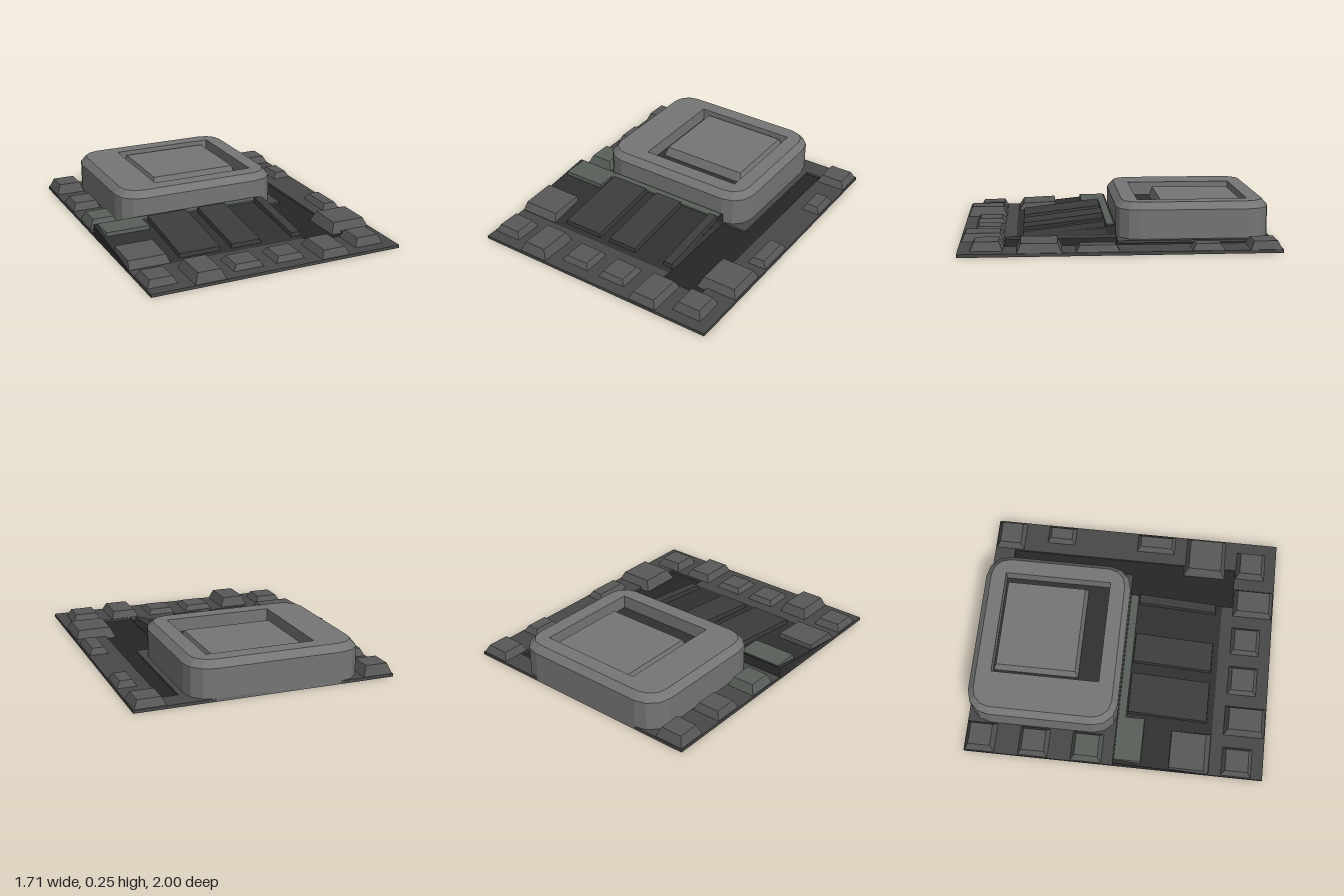
import * as THREE from 'three';

const mat = (color) => new THREE.MeshStandardMaterial({ color, flatShading: true });
const baseMat = mat(0x484848), darkMat = mat(0x262626), panelMat = mat(0x303030);
const slatMat = mat(0x3c3c3c), keyMat = mat(0x585858), greenMat = mat(0x586059), housingMat = mat(0x757575);

// Skin stacked loops of [x, y, z] (clockwise seen from above), optionally closing both ends.
function loft(rings, capped = true) {
  const n = rings[0].length, pos = rings.flat(2), index = [];
  for (let r = 0; r < rings.length - 1; r++) {
    for (let i = 0; i < n; i++) {
      const a = r * n + i, b = r * n + (i + 1) % n;
      index.push(a, a + n, b, b, a + n, b + n);
    }
  }
  if (capped) {
    const t = (rings.length - 1) * n;
    for (let i = 1; i < n - 1; i++) index.push(t, t + i + 1, t + i, 0, i, i + 1);
  }
  const g = new THREE.BufferGeometry();
  g.setAttribute('position', new THREE.Float32BufferAttribute(pos, 3));
  g.setIndex(index);
  const flat = g.toNonIndexed();
  flat.computeVertexNormals();
  return flat;
}

// Rectangle loop with its own height at the back and front edge.
const rect = (x0, x1, z0, z1, yBack, yFront = yBack) =>
  [[x0, yBack, z0], [x1, yBack, z0], [x1, yFront, z1], [x0, yFront, z1]];

// Block with a smaller top.
const frustum = (x0, x1, z0, z1, y0, y1, inset) =>
  loft([rect(x0, x1, z0, z1, y0), rect(x0 + inset, x1 - inset, z0 + inset, z1 - inset, y1)]);

// Rounded rectangle in x, z with three facets per corner.
function roundedLoop(x0, x1, z0, z1, r) {
  const pts = [];
  [[x1 - r, z0 + r, -90], [x1 - r, z1 - r, 0], [x0 + r, z1 - r, 90], [x0 + r, z0 + r, 180]].forEach(([cx, cz, start]) => {
    for (let i = 0; i <= 3; i++) {
      const a = THREE.MathUtils.degToRad(start + i * 30);
      pts.push([cx + r * Math.cos(a), cz + r * Math.sin(a)]);
    }
  });
  return pts;
}

const vec = (pts) => pts.map(([x, z]) => new THREE.Vector2(x, z));

// Flat plate with a cut-out, given in x, z and hanging down from yTop.
function plate(outline, hole, yTop, depth) {
  const shape = new THREE.Shape(vec(outline));
  shape.holes.push(new THREE.Path(vec(hole)));
  return new THREE.ExtrudeGeometry(shape, { depth, bevelEnabled: false })
    .rotateX(Math.PI / 2).translate(0, yTop, 0);
}

export function createModel() {
  const model = new THREE.Group();
  const add = (name, geometry, material, parent = model) => {
    const mesh = new THREE.Mesh(geometry, material);
    mesh.name = name;
    parent.add(mesh);
    return mesh;
  };
  const group = (name) => {
    const g = new THREE.Group();
    g.name = name;
    model.add(g);
    return g;
  };

  // Base plate with a sunken L-shaped channel
  add('basePlate', plate(
    [[-0.855, -1], [0.855, -1], [0.855, 1], [-0.855, 1]],
    [[0.53, -0.86], [0.64, -0.86], [0.64, 0.715], [0.355, 0.715], [0.355, 0], [0.53, 0]],
    0.02, 0.02), baseMat);
  add('channelFloor', loft([rect(0.35, 0.645, -0.865, 0.72, 0), rect(0.35, 0.645, -0.865, 0.72, 0.005)]), darkMat);

  // Large rounded housing with a recess and a raised inner block
  const housing = group('housing');
  const outer = roundedLoop(-0.645, 0.495, -1, 0, 0.155);
  const inner = roundedLoop(-0.605, 0.455, -0.96, -0.04, 0.12);
  const atY = (loop, y) => loop.map(([x, z]) => [x, y, z]);
  add('housingWall', loft([atY(outer, 0), atY(outer, 0.21), atY(inner, 0.255)], false), housingMat, housing);
  add('housingTop', plate(inner, [[-0.36, -0.86], [0.355, -0.86], [0.355, -0.14], [-0.36, -0.14]], 0.255, 0.1),
    housingMat, housing);
  add('recessFloor', loft([rect(-0.4, 0.4, -0.9, -0.1, 0.14), rect(-0.4, 0.4, -0.9, -0.1, 0.165)]), panelMat, housing);
  add('innerBlock', frustum(-0.32, 0.32, -0.86, -0.285, 0.16, 0.23, 0.022), housingMat, housing);

  // Sloping panel with three raised slats
  add('slopingPanel', loft([rect(-0.855, 0.355, 0, 0.645, 0.005), rect(-0.855, 0.355, 0, 0.645, 0.088, 0.02)]), panelMat);
  const slats = group('slats');
  [[-0.5, -0.225], [-0.14, 0.06], [0.29, 0.35]].forEach(([x0, x1]) => {
    add('slat', loft([
      rect(x0 - 0.008, x1 + 0.008, 0.065, 0.605, 0.03, 0.01),
      rect(x0, x1, 0.07, 0.6, 0.115, 0.052),
    ]), slatMat, slats);
  });

  // L-shaped ledge along the back of the panel
  const ledge = group('ledge');
  add('ledgeStrip', loft([rect(-0.855, 0.345, 0, 0.065, 0.01), rect(-0.83, 0.345, 0.01, 0.06, 0.092)]), greenMat, ledge);
  add('ledgeCorner', loft([rect(-0.855, -0.53, 0, 0.195, 0.01), rect(-0.83, -0.535, 0.01, 0.185, 0.093)]), greenMat, ledge);

  // Tapered blocks around the border: x0, x1, z0, z1, height
  const blocks = group('borderBlocks');
  [
    [-0.855, -0.645, -1, -0.79, 0.085], [-0.855, -0.645, -0.645, -0.43, 0.07],
    [0.64, 0.855, -1, -0.79, 0.07], [0.71, 0.855, -0.645, -0.43, 0.06],
    [0.71, 0.855, 0, 0.285, 0.06], [0.57, 0.855, 0.355, 0.645, 0.075],
    [-0.855, -0.645, 0.715, 0.93, 0.065], [-0.575, -0.36, 0.715, 1, 0.085],
    [-0.29, -0.07, 0.715, 0.93, 0.055], [0, 0.215, 0.715, 0.93, 0.055],
    [0.285, 0.5, 0.715, 1, 0.07], [0.57, 0.785, 0.715, 0.93, 0.075],
  ].forEach(([x0, x1, z0, z1, h]) => {
    add('borderBlock', frustum(x0, x1, z0, z1, 0.005, h, 0.032), keyMat, blocks);
  });
  add('tintedBlock', frustum(-0.855, -0.645, -0.29, -0.07, 0.005, 0.08, 0.032), greenMat, blocks);
  add('panelBlock', loft([
    rect(-0.855, -0.575, 0.37, 0.645, 0.01),
    rect(-0.845, -0.595, 0.375, 0.605, 0.08, 0.07),
  ]), keyMat, blocks);

  return model;
}
